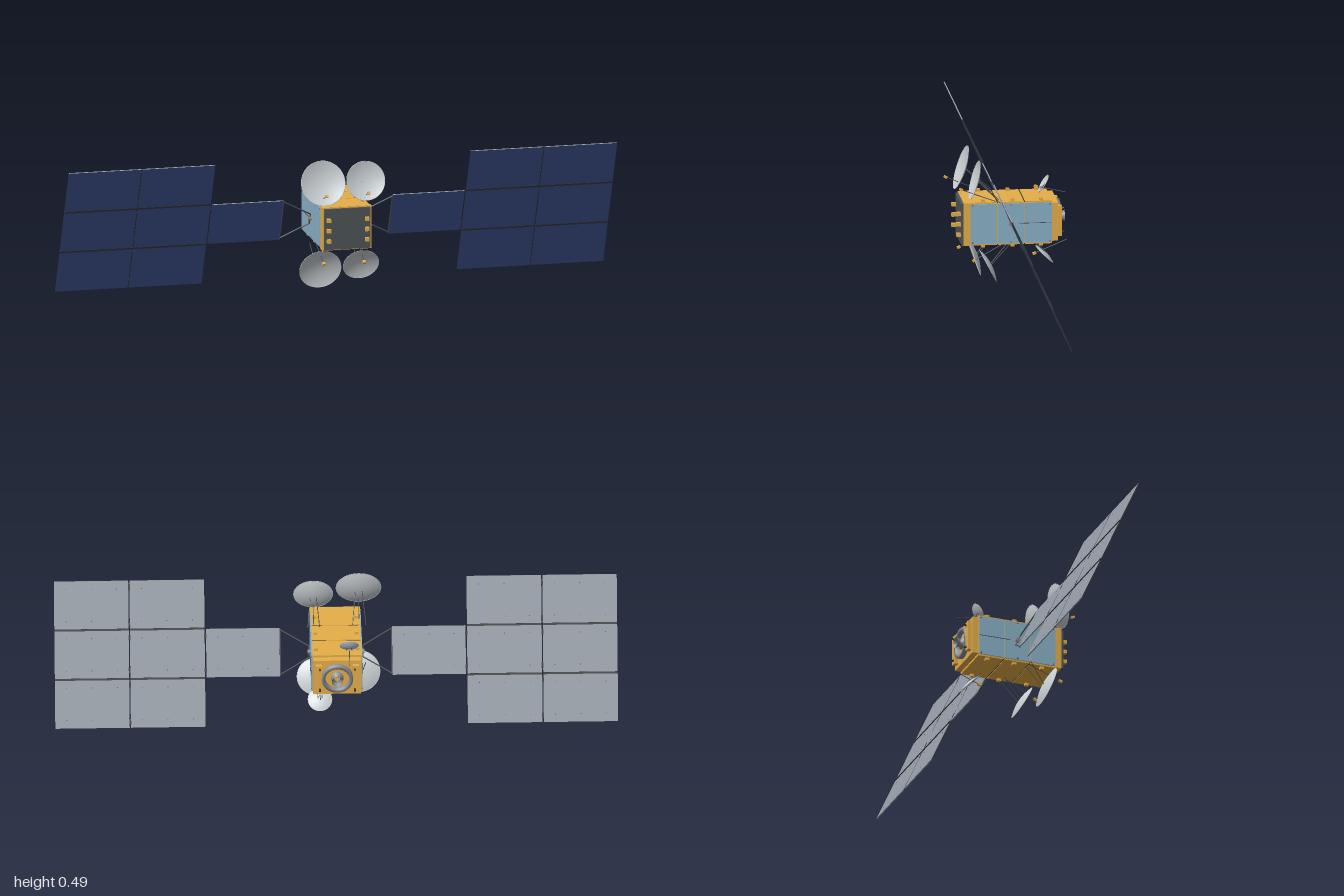
import * as THREE from 'three';

const mat = (name, color, side = THREE.FrontSide) => {
  const m = new THREE.MeshStandardMaterial({ color, side });
  m.name = name;
  return m;
};

export function createModel() {
  const gold = mat('gold foil', 0xe6af48);
  const blue = mat('radiator blue', 0x8bb2c9);
  const navy = mat('solar cell navy', 0x3c508a);
  const grey = mat('panel backing grey', 0x939aa3);
  const dishGrey = mat('dish light grey', 0xc8ced1, THREE.DoubleSide);
  const dark = mat('dark plate', 0x4d5558);
  const black = mat('hinge charcoal', 0x34373a);
  const strut = mat('strut grey', 0x515559);
  const metal = mat('engine metal', 0x888e95, THREE.DoubleSide);
  const copper = mat('hub copper', 0xa07c70);

  const model = new THREE.Group();
  model.name = 'satellite';
  const V = (x, y, z) => new THREE.Vector3(x, y, z);
  const UP = V(0, 1, 0);

  const add = (parent, name, geo, material, x = 0, y = 0, z = 0) => {
    const m = new THREE.Mesh(geo, material);
    m.name = name;
    m.position.set(x, y, z);
    parent.add(m);
    return m;
  };
  const box = (parent, name, material, w, h, d, x, y, z) =>
    add(parent, name, new THREE.BoxGeometry(w, h, d), material, x, y, z);
  const rod = (parent, name, a, b, r = 0.0015, material = strut) => {
    const d = b.clone().sub(a);
    const m = add(parent, name, new THREE.CylinderGeometry(r, r, d.length(), 6), material);
    m.position.copy(a).addScaledVector(d, 0.5);
    m.quaternion.setFromUnitVectors(UP, d.normalize());
    return m;
  };

  // Main body, with thin foil plates and seams on its top and bottom
  const MID = 0.243;
  const body = new THREE.Group();
  body.name = 'body';
  model.add(body);
  box(body, 'bodyCore', gold, 0.174, 0.15, 0.315, 0, MID, 0.008);
  box(body, 'bodyRearFrame', gold, 0.17, 0.14, 0.025, 0, MID, -0.16);
  box(body, 'bodyFrontFrame', gold, 0.18, 0.156, 0.024, 0, MID, 0.1535);
  box(body, 'frontPlate', dark, 0.168, 0.148, 0.01, 0, MID, 0.17);
  for (const s of [1, -1]) {
    for (const [z0, z1] of [[0.16, 0.047], [0.043, -0.05], [-0.055, -0.15]])
      box(body, 'foilPlate', gold, 0.172, 0.004, z0 - z1, 0, MID + s * 0.0765, (z0 + z1) / 2);
    for (const z of [0.045, -0.0525])
      box(body, 'foilSeam', black, 0.172, 0.002, 0.004, 0, MID + s * 0.0755, z);
    for (const x of [0.074, -0.074])
      for (const z of [0.095, -0.01, -0.113])
        box(body, 'foilBlock', gold, 0.013, 0.01, 0.013, x, MID + s * 0.083, z);
  }

  // Radiators on both sides, with corner bolts and an antenna rod
  for (const s of [1, -1]) {
    for (const [z0, z1] of [[0.142, 0.0475], [0.0435, -0.0505], [-0.0545, -0.149]])
      box(body, 'radiator', blue, 0.005, 0.146, z0 - z1, s * 0.0885, MID, (z0 + z1) / 2);
    for (const z of [0.134, -0.003, -0.142])
      for (const e of [1, -1])
        box(body, 'radiatorBolt', strut, 0.002, 0.004, 0.004, s * 0.0915, MID + e * 0.068, z);
    rod(body, 'sideAntenna', V(s * 0.092, MID, -0.032), V(s * 0.092, MID, -0.149), 0.0012);
  }

  // Feed horns along the edges of the front plate
  for (const x of [0.07, -0.07])
    for (const y of [0.278, 0.24, 0.202])
      box(body, 'frontHorn', gold, 0.014, 0.013, 0.017, x, y, 0.182);

  // Rear engine: mounting ring, flared nozzle and small thrusters
  const engine = new THREE.Group();
  engine.name = 'engine';
  engine.position.set(0, MID, -0.168);
  engine.rotation.x = -Math.PI / 2;
  model.add(engine);
  const lathe = (pts, n = 32) => new THREE.LatheGeometry(pts.map(p => new THREE.Vector2(...p)), n);
  add(engine, 'mountingRing', lathe([[0.056, 0], [0.056, 0.02], [0.043, 0.02], [0.043, 0]]), metal);
  add(engine, 'nozzle', lathe([[0.022, 0], [0.022, 0.014], [0.01, 0.017], [0.014, 0.025], [0.02, 0.037]], 24), metal);
  for (const s of [1, -1]) {
    box(model, 'rearBlock', gold, 0.022, 0.11, 0.018, s * 0.066, MID, -0.178);
    for (const e of [1, -1])
      rod(model, 'thruster', V(s * 0.062, MID + e * 0.04, -0.184), V(s * 0.062, MID + e * 0.045, -0.196), 0.004, black);
  }

  // Dish antenna: [z, y] pairs give the rim ends, feed, feed arm base and strut base
  const dish = (name, x, top, bottom, feed, armBase, strutBase) => {
    const g = new THREE.Group();
    g.name = name;
    model.add(g);
    const P = ([z, y], dx = 0) => V(x + dx, y, z);
    const a = P(top), b = P(bottom), r = a.distanceTo(b) / 2;
    const normal = V(0, b.z - a.z, a.y - b.y).normalize();
    const center = a.clone().add(b).multiplyScalar(0.5);
    const depth = r * 0.2;
    const pts = [];
    for (let i = 0; i <= 8; i++) pts.push([r * i / 8, depth * ((i / 8) ** 2 - 1)]);
    const bowl = add(g, 'dishBowl', lathe(pts, 40), dishGrey);
    bowl.position.copy(center);
    bowl.quaternion.setFromUnitVectors(UP, normal);
    const rim = add(g, 'dishRim', new THREE.TorusGeometry(r, 0.001, 5, 40), dishGrey);
    rim.position.copy(center);
    rim.quaternion.setFromUnitVectors(V(0, 0, 1), normal);
    // Struts behind the bowl
    const back = center.clone().addScaledVector(normal, -depth);
    for (const s of [1, -1])
      rod(g, 'dishStrut', back.clone().add(V(s * r * 0.15, 0, 0)), P(strutBase, s * r * 0.3));
    // Feed on its arm
    const f = P(feed), base = P(armBase);
    rod(g, 'feedArm', base, f);
    const horn = box(g, 'feedHorn', gold, 0.01, 0.013, 0.008, 0, 0, 0);
    horn.position.copy(f);
    horn.quaternion.setFromUnitVectors(UP, f.clone().sub(base).normalize());
  };
  dish('upperRightDish', -0.084, [0.129, 0.485], [0.181, 0.333], [0.21, 0.375], [0.085, 0.322], [0.045, 0.32]);
  dish('upperLeftDish', 0.078, [0.107, 0.47], [0.145, 0.335], [0.174, 0.369], [0.045, 0.32], [0.035, 0.32]);
  dish('lowerRightDish', -0.084, [0.135, 0.155], [0.085, 0.012], [0.163, 0.116], [0.035, 0.166], [0.04, 0.166]);
  dish('lowerLeftDish', 0.072, [0.107, 0.143], [0.047, 0.028], [0.127, 0.106], [0.02, 0.166], [0.002, 0.166]);
  dish('rearUpperDish', -0.044, [-0.153, 0.38], [-0.118, 0.323], [-0.108, 0.342], [-0.215, 0.317], [-0.118, 0.32]);
  dish('rearLowerDish', 0.06, [-0.095, 0.15], [-0.156, 0.09], [-0.09, 0.123], [-0.205, 0.17], [-0.09, 0.166]);

  // Solar wings, tilted about the x axis: cells in front, grey behind, dark joints
  const faces = [black, black, grey, grey, navy, grey];
  const T = 0.004, ROW = 0.1775;
  for (const s of [1, -1]) {
    const wing = new THREE.Group();
    wing.name = s > 0 ? 'leftWing' : 'rightWing';
    wing.position.set(0, MID, -0.004);
    wing.rotation.x = 0.42;
    model.add(wing);
    const panel = (x0, x1, y) => {
      const w = x1 - x0, cx = s * (x0 + x1) / 2;
      box(wing, 'solarPanel', faces, w, 0.174, T, cx, y, 0);
      // Fasteners on the back
      for (const k of [-1, 0, 1])
        for (const e of [-1, 1])
          box(wing, 'fastener', strut, 0.003, 0.003, 0.001, cx + k * w * 0.34, y + e * 0.058, -T / 2 - 0.0003);
    };
    panel(0.2, 0.461, 0);
    for (const [x0, x1] of [[0.466, 0.7315], [0.7355, 1.0]]) {
      for (const r of [-1, 0, 1]) panel(x0, x1, r * ROW);
      for (const e of [-1, 1])
        box(wing, 'panelSeam', black, x1 - x0, 0.007, T + 0.003, s * (x0 + x1) / 2, e * ROW / 2, -0.001);
    }
    // Hinges between columns and at the inner panel
    for (const y of [-0.24, -0.11, -0.06, 0.06, 0.11, 0.24])
      box(wing, 'columnHinge', black, 0.007, 0.02, T, s * 0.7335, y, -0.001);
    for (const y of [-0.06, 0.06])
      box(wing, 'rootHinge', black, 0.009, 0.014, T, s * 0.4635, y, -0.001);
    // Yoke from the hub to the inner panel
    for (const e of [1, -1])
      rod(wing, 'yokeStrut', V(s * 0.095, e * 0.02, 0), V(s * 0.202, e * 0.083, 0), 0.0025);
    rod(wing, 'yokeBar', V(s * 0.198, -0.085, 0), V(s * 0.198, 0.085, 0), 0.002);
    rod(wing, 'yokeBase', V(s * 0.096, -0.021, 0), V(s * 0.096, 0.021, 0), 0.0025);
    const hub = add(wing, 'wingHub', new THREE.CylinderGeometry(0.008, 0.008, 0.014, 16), copper, s * 0.094, 0, 0);
    hub.rotation.z = Math.PI / 2;
  }
  return model;
}
